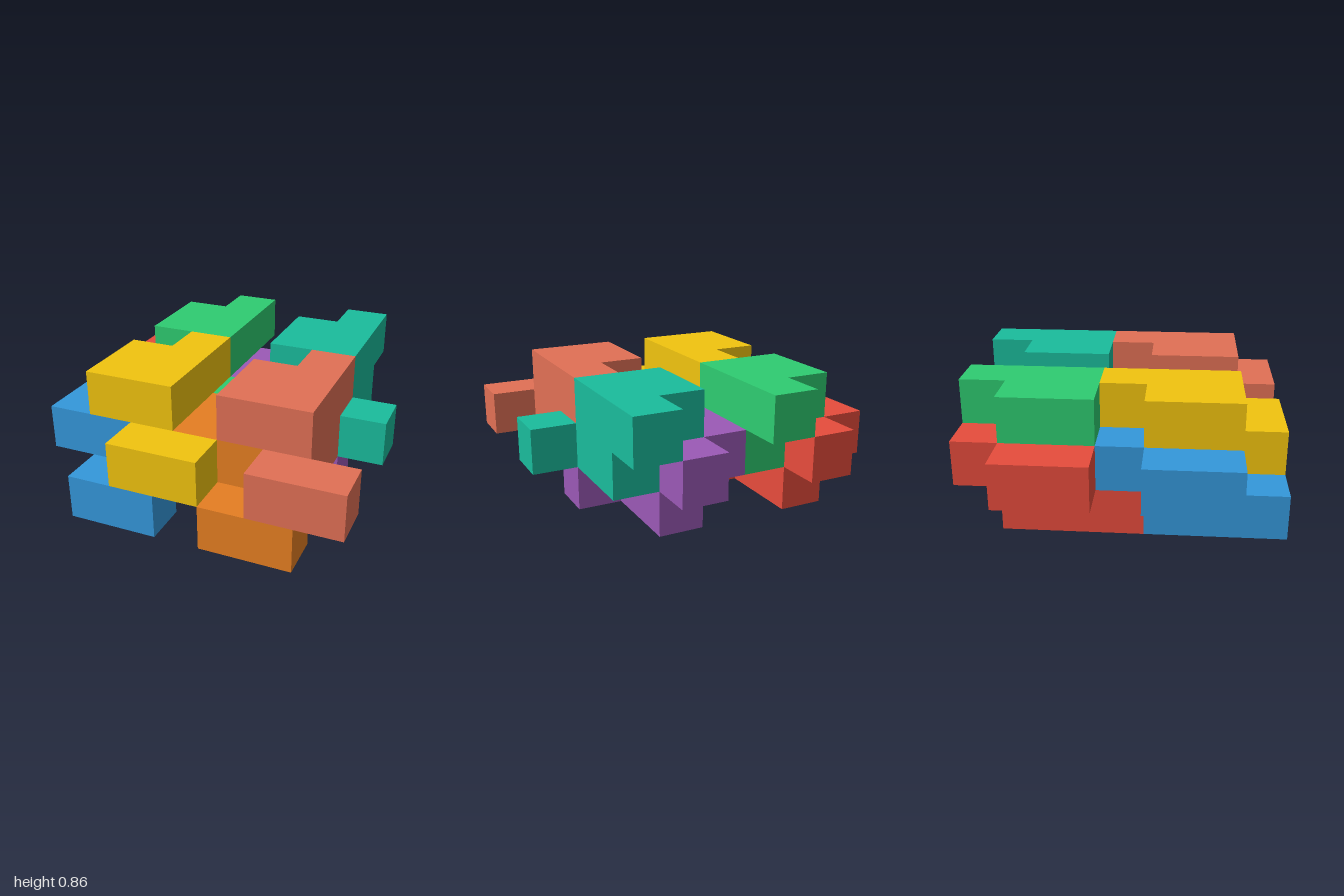
import * as THREE from 'three';
import { mergeGeometries } from 'three/addons/utils/BufferGeometryUtils.js';

const U = 2 / 7; // cube edge

// One nine-cube puzzle piece as [x, y, z] cells
const CELLS = [
  [1, 1, 0], [0, 1, 1], [1, 1, 1], [0, 1, 2], [1, 1, 2], // upper layer
  [1, 0, 1], [1, 0, 2], [1, 0, 3], [2, 0, 3],            // lower layer
];

// Outward directions with the turn that faces a plane that way
const SIDES = [
  [[1, 0, 0], 0, Math.PI / 2], [[-1, 0, 0], 0, -Math.PI / 2],
  [[0, 1, 0], -Math.PI / 2, 0], [[0, -1, 0], Math.PI / 2, 0],
  [[0, 0, 1], 0, 0], [[0, 0, -1], 0, Math.PI],
];

// Skin of a piece: a square on every cube side without a neighbour
function pieceGeometry() {
  const filled = new Set(CELLS.map(String));
  const faces = [];
  for (const cell of CELLS) {
    for (const [dir, rx, ry] of SIDES) {
      if (filled.has(String(cell.map((c, a) => c + dir[a])))) continue;
      const centre = cell.map((c, a) => (c + 0.5 + dir[a] / 2) * U);
      faces.push(new THREE.PlaneGeometry(U, U).rotateX(rx).rotateY(ry).translate(...centre));
    }
  }
  return mergeGeometries(faces);
}

// Name, colour and cell offset of each interlocking piece
const PIECES = [
  ['frontUpperLeftPiece', 0xe17055, [4, 1, 3]],
  ['frontLowerLeftPiece', 0xe67e22, [3, 0, 3]],
  ['frontUpperRightPiece', 0xf1c40f, [1, 1, 3]],
  ['frontLowerRightPiece', 0x3498db, [0, 0, 3]],
  ['backUpperLeftPiece', 0x1abc9c, [4, 1, 0]],
  ['backLowerLeftPiece', 0x9b59b6, [3, 0, 0]],
  ['backUpperRightPiece', 0x2ecc71, [1, 1, 0]],
  ['backLowerRightPiece', 0xe74c3c, [0, 0, 0]],
];

export function createModel() {
  const model = new THREE.Group();
  model.name = 'interlockingCubePuzzle';
  const geometry = pieceGeometry();
  for (const [name, color, [i, j, k]] of PIECES) {
    const piece = new THREE.Mesh(geometry, new THREE.MeshStandardMaterial({ color }));
    piece.name = name;
    piece.position.set(i * U - 1, j * U, k * U - 1);
    model.add(piece);
  }
  return model;
}
